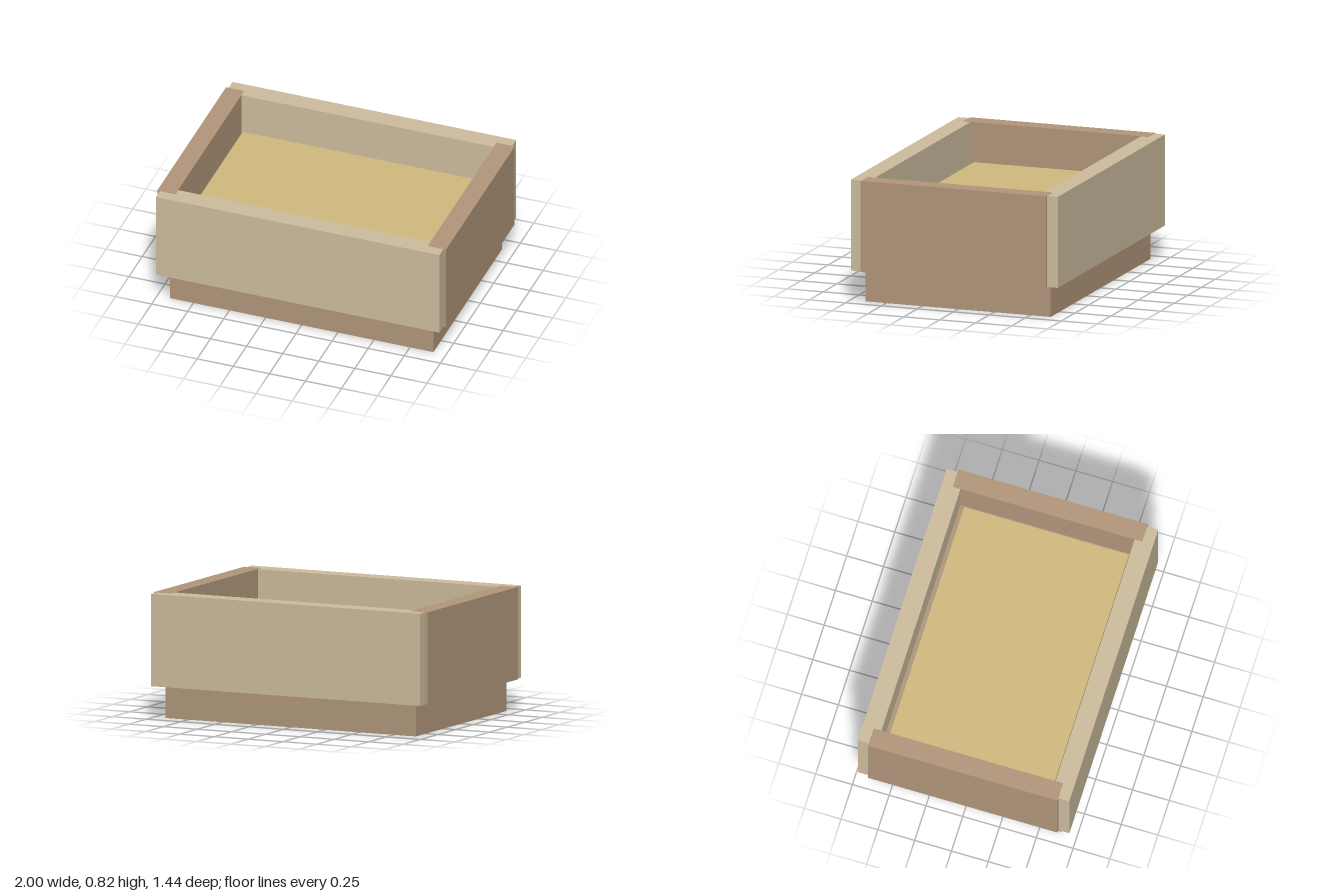
import * as THREE from 'three';

const brown = new THREE.MeshStandardMaterial({ color: 0xb2977b });
const beige = new THREE.MeshStandardMaterial({ color: 0xcebe9f });
const yellow = new THREE.MeshStandardMaterial({ color: 0xd2bb80 });

// Box spanning the given half extents around (x, z), from y0 up to y1
function block(name, material, halfX, halfZ, y0, y1, x = 0, z = 0) {
  const mesh = new THREE.Mesh(new THREE.BoxGeometry(halfX * 2, y1 - y0, halfZ * 2), material);
  mesh.name = name;
  mesh.position.set(x, (y0 + y1) / 2, z);
  return mesh;
}

export function createModel() {
  const group = new THREE.Group();
  group.name = 'openBox';

  const wallBottom = 0.214, wallTop = 0.82;

  // Plinth, reaching up inside the walls
  group.add(block('base', brown, 0.913, 0.644, 0, 0.52));

  // Inset floor panel on the plinth
  group.add(block('floorPanel', yellow, 0.853, 0.56, 0.52, 0.56));

  // Side boards, a hair taller so they cover the corner overlaps cleanly
  for (const [side, s] of [['left', 1], ['right', -1]]) {
    group.add(block(side + 'Board', brown, 0.063, 0.644, wallBottom, wallTop + 0.001, s * 0.937));
  }

  // Front and back boards
  for (const [side, s] of [['front', 1], ['back', -1]]) {
    group.add(block(side + 'Board', beige, 0.982, 0.0635, wallBottom, wallTop, 0, s * 0.6555));
  }

  return group;
}
